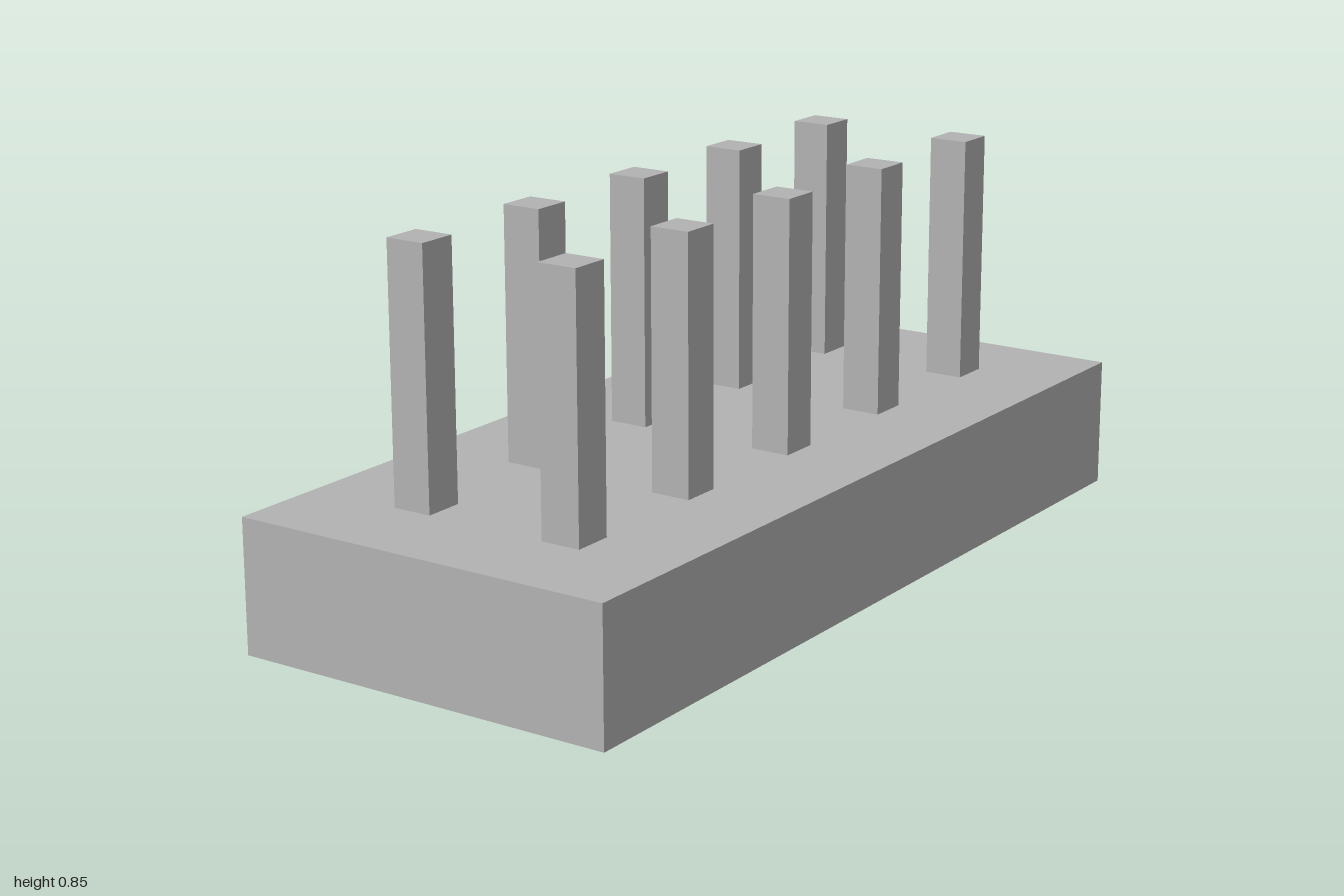
import * as THREE from 'three';

const BASE = { width: 0.886, height: 0.293, depth: 2 };
const PIN = { size: 0.09, top: 0.848, x: 0.185, pitch: 0.37 };

export function createModel() {
  const model = new THREE.Group();
  model.name = 'pinHeader';

  const grey = new THREE.MeshStandardMaterial({ color: 0xb2b2b2 });
  grey.name = 'lightGrey';

  // Solid base block
  const base = new THREE.Mesh(new THREE.BoxGeometry(BASE.width, BASE.height, BASE.depth), grey);
  base.name = 'base';
  base.position.y = BASE.height / 2;
  model.add(base);

  // Two rows of five square pins standing on the base
  const pinHeight = PIN.top - BASE.height;
  const pinGeometry = new THREE.BoxGeometry(PIN.size, pinHeight, PIN.size);
  for (const [side, sign] of [['left', 1], ['right', -1]]) {
    const row = new THREE.Group();
    row.name = `${side}PinRow`;
    for (let i = 0; i < 5; i++) {
      const pin = new THREE.Mesh(pinGeometry, grey);
      pin.name = `${side}Pin${i + 1}`;
      pin.position.set(sign * PIN.x, BASE.height + pinHeight / 2, (2 - i) * PIN.pitch);
      row.add(pin);
    }
    model.add(row);
  }

  return model;
}
